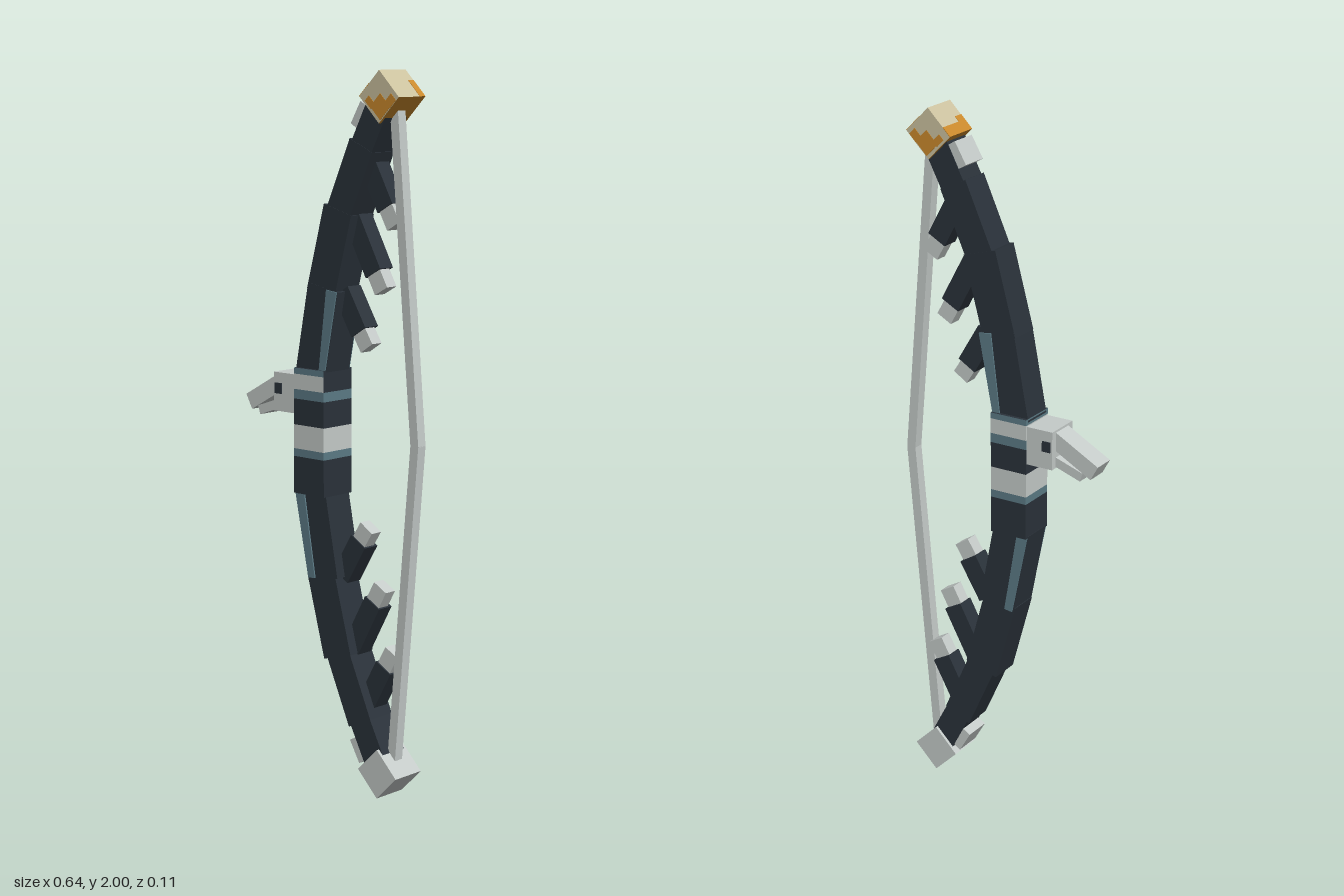
import * as THREE from 'three';

const mat = (name, color) => {
  const m = new THREE.MeshStandardMaterial({ color });
  m.name = name;
  return m;
};

export function createModel() {
  const dark = mat('dark slate', 0x2a323a);
  const teal = mat('steel teal', 0x5c7b86);
  const light = mat('pale metal', 0xc5cbc9);
  const beige = mat('pale brass', 0xcdc3a0);
  const gold = mat('amber', 0xcb8a2c);

  const bow = new THREE.Group();
  bow.name = 'bow';

  const add = (name, geo, material, parent = bow) => {
    const m = new THREE.Mesh(geo, material);
    m.name = name;
    parent.add(m);
    return m;
  };
  // Axis-aligned block given by its extents
  const block = (name, x0, x1, y0, y1, z0, z1, material) => {
    const m = add(name, new THREE.BoxGeometry(x1 - x0, y1 - y0, z1 - z0), material);
    m.position.set((x0 + x1) / 2, (y0 + y1) / 2, (z0 + z1) / 2);
    return m;
  };
  // Square beam between two points in the bow's plane
  const beam = (name, [ax, ay], [bx, by], width, z0, z1, material) => {
    const len = Math.hypot(bx - ax, by - ay);
    const m = add(name, new THREE.BoxGeometry(len, width, z1 - z0), material);
    m.position.set((ax + bx) / 2, (ay + by) / 2, (z0 + z1) / 2);
    m.rotation.z = Math.atan2(by - ay, bx - ax);
    return m;
  };

  // Grip, stacked in coloured bands
  const bands = [
    [0.825, 0.93, dark], [0.93, 0.952, teal], [0.952, 1.02, light], [1.02, 1.093, dark],
    [1.093, 1.12, teal], [1.12, 1.163, light], [1.163, 1.18, teal],
  ];
  bands.forEach(([y0, y1, m], i) => {
    // the two uppermost bands stay dark on the string side
    const material = i > 4 ? [dark, m, i === 6 ? dark : m, m, m, m] : m;
    block('gripBand', -0.106, 0.008, y0, y1, -0.057, 0.056, material);
  });

  // Limbs: upper, then lower mirrored about mid-height
  for (const s of [1, -1]) {
    const p = (x, y) => [x, 1 + s * (y - 1)];
    const limb = [
      [[-0.052, 1.16], [-0.004, 1.41], 0.112, 0.047],
      [[-0.014, 1.39], [0.05, 1.625], 0.104, 0.046],
      [[0.04, 1.59], [0.134, 1.8], 0.088, 0.045],
      [[0.122, 1.77], [0.2, 1.92], 0.078, 0.044],
    ];
    for (const [a, b, w, z] of limb) beam('limbSegment', p(...a), p(...b), w, -z, z, dark);

    // Light cap on the outer side near the tip
    beam('outerCap', p(0.115, 1.845), p(0.15, 1.905), 0.05, -0.042, 0.04, light);

    // Prongs pointing back towards the grip
    const prongs = [
      [[0.035, 1.4], [0.1, 1.292], [0.127, 1.25]],
      [[0.075, 1.6], [0.153, 1.457], [0.179, 1.41]],
      [[0.118, 1.775], [0.195, 1.635], [0.222, 1.587]],
    ];
    for (const [a, b, c] of prongs) {
      beam('prong', p(...a), p(...b), 0.06, -0.036, 0.016, dark);
      beam('prongTip', p(...b), p(...c), 0.05, -0.026, 0.012, light);
    }

    // Half of the string
    beam('string', p(0.304, 0.998), p(0.225, 1.9), 0.028, -0.015, 0.015, light);
  }

  // Thin teal stripes on both faces of the inner limb segments
  const stripe = (pts) => {
    const shape = new THREE.Shape(pts.map(([x, y]) => new THREE.Vector2(x, y)));
    for (const z of [0.046, -0.051]) {
      const g = new THREE.ExtrudeGeometry(shape, { depth: 0.005, bevelEnabled: false });
      g.translate(0, 0, z);
      add('limbStripe', g, teal);
    }
  };
  stripe([[-0.016, 1.18], [0.007, 1.18], [0.05, 1.4], [0.012, 1.405]]);
  stripe([[-0.106, 0.825], [-0.072, 0.825], [-0.032, 0.59], [-0.057, 0.587]]);

  // Tip blocks, set on edge
  const side = 0.099;
  const tip = (name, y, material) => {
    const m = add(name, new THREE.BoxGeometry(side, side, 0.106), material);
    m.position.set(0.206, y, 0);
    m.rotation.z = Math.PI / 4;
    return m;
  };
  tip('lowerTip', 0.07, light);
  const upperTip = tip('upperTip', 1.93, [beige, gold, beige, gold, beige, beige]);

  // Amber patches on the upper tip, in its own turned frame
  const patch = (w, h, d, x, y, z) =>
    add('tipPatch', new THREE.BoxGeometry(w, h, d), gold, upperTip).position.set(x, y, z);
  for (const z of [0.053, -0.053]) {
    patch(0.05, 0.05, 0.002, -0.015, -0.022, z);
    patch(0.03, 0.025, 0.002, 0.022, -0.036, z);
    patch(0.02, 0.03, 0.002, -0.033, 0.012, z);
  }
  patch(0.032, 0.002, 0.106, -0.0335, side / 2, 0);
  patch(0.018, 0.002, 0.03, -0.009, side / 2, 0.038);
  patch(0.002, 0.06, 0.022, side / 2, -0.0195, -0.042);

  // Arrow rest with pivots and two angled jaws
  block('restBlock', -0.187, -0.106, 1.05, 1.16, -0.053, 0.053, light);
  for (const z of [0.0535, -0.0535])
    block('restPivot', -0.182, -0.156, 1.1, 1.13, z - 0.003, z + 0.003, dark);
  beam('upperJaw', [-0.308, 1.06], [-0.165, 1.139], 0.047, -0.034, 0.031, light);
  beam('lowerJaw', [-0.268, 1.04], [-0.165, 1.075], 0.026, -0.034, 0.031, light);

  return bow;
}
